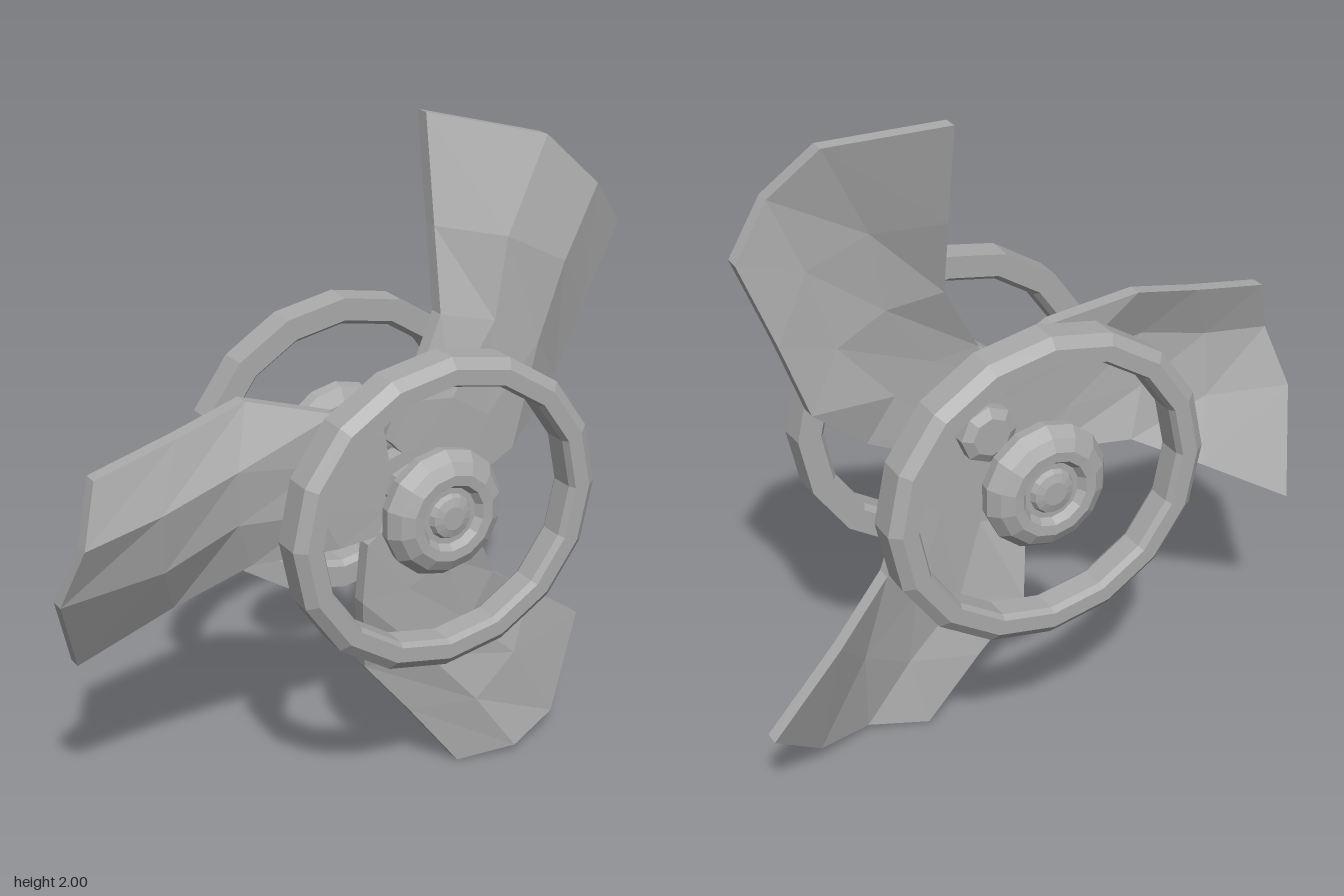
import * as THREE from 'three';

const grey = new THREE.MeshStandardMaterial({ color: 0xaaaaaa });
grey.name = 'grey metal';
grey.flatShading = true;

// Lathe around the z axis from [radius, z] pairs
function turned(name, profile, sides) {
  const geo = new THREE.LatheGeometry(profile.map(([r, z]) => new THREE.Vector2(r, z)), sides);
  geo.rotateX(Math.PI / 2);
  const mesh = new THREE.Mesh(geo, grey);
  mesh.name = name;
  return mesh;
}

// Blade sections from root to tip: four [radius, angle in degrees, front z] points each
const sections = [
  [[0.2, -10, 0.115], [0.09, 10, 0.115], [0.09, 90, 0.115], [0.16, 110, 0.115]],
  [[0.365, 8, 0.112], [0.32, 33, 0.115], [0.29, 60, 0.115], [0.265, 89, 0.112]],
  [[0.593, 22, 0.047], [0.57, 40, 0.115], [0.54, 57, 0.1], [0.505, 74.5, 0.06]],
  [[0.76, 35, 0.072], [0.79, 50, 0.132], [0.77, 64, 0.09], [0.74, 77.8, -0.015]],
  [[0.99, 43.7, 0.1], [1.02, 54, 0.148], [1.075, 64, 0.075], [1.044, 80.4, -0.095]],
];
const thickness = 0.045;

function bladeGeometry() {
  const pos = [];
  const quad = (a, b, c, d) => [a, b, c, a, c, d].forEach((p) => pos.push(...p));
  const loops = sections.map((section) => {
    const front = section.map(([r, deg, z]) => {
      const a = THREE.MathUtils.degToRad(deg);
      return [r * Math.cos(a), r * Math.sin(a), z];
    });
    const back = front.map(([x, y, z]) => [x, y, z - thickness]).reverse();
    return [...front, ...back];
  });
  // Skin between neighbouring sections
  for (let s = 0; s < loops.length - 1; s++) {
    for (let i = 0; i < 8; i++) {
      const j = (i + 1) % 8;
      quad(loops[s][i], loops[s + 1][i], loops[s + 1][j], loops[s][j]);
    }
  }
  // Root and tip caps
  const root = loops[0], tip = loops[loops.length - 1];
  for (let i = 0; i < 3; i++) {
    quad(tip[i], tip[7 - i], tip[6 - i], tip[i + 1]);
    quad(root[i], root[i + 1], root[6 - i], root[7 - i]);
  }
  const geo = new THREE.BufferGeometry();
  geo.setAttribute('position', new THREE.Float32BufferAttribute(pos, 3));
  geo.computeVertexNormals();
  return geo;
}

// Guard ring with the bossed hub in its middle
function guard(name) {
  const group = new THREE.Group();
  group.name = name;
  const ring = turned('guardRing', [
    [0.4, 0.245], [0.468, 0.245], [0.47, 0.33], [0.44, 0.355],
    [0.395, 0.355], [0.385, 0.335], [0.385, 0.265], [0.4, 0.245],
  ], 16);
  ring.scale.x = 1.055;
  const hub = turned('guardHub', [
    [0, 0.245], [0.14, 0.245], [0.185, 0.27], [0.19, 0.305], [0.165, 0.34], [0.13, 0.359],
    [0.1, 0.357], [0.085, 0.335], [0.068, 0.335], [0.06, 0.35], [0.035, 0.357], [0, 0.357],
  ], 14);
  group.add(ring, hub);
  return group;
}

export function createModel() {
  const model = new THREE.Group();
  model.name = 'propeller';
  const rotor = new THREE.Group();
  rotor.name = 'rotor';
  rotor.position.set(0.135, 0.972, 0);
  model.add(rotor);

  // Front and rear guards
  const rear = guard('rearGuard');
  rear.rotation.y = Math.PI;
  rotor.add(guard('frontGuard'), rear);

  // Shaft, blade seat and chamfered end cap
  rotor.add(
    turned('shaft', [[0, 0.05], [0.078, 0.05], [0.078, 0.25], [0, 0.25]], 8),
    turned('bladeSeat', [[0, 0.07], [0.12, 0.07], [0.12, 0.115], [0, 0.115]], 12),
    turned('endCap', [[0, 0], [0.06, 0], [0.09, 0.018], [0.09, 0.055], [0.075, 0.08], [0, 0.08]], 8),
  );

  // Three blades
  const geo = bladeGeometry();
  [0, 123, 238].forEach((deg, i) => {
    const blade = new THREE.Mesh(geo, grey);
    blade.name = 'blade' + (i + 1);
    blade.rotation.z = THREE.MathUtils.degToRad(deg);
    rotor.add(blade);
  });
  return model;
}
